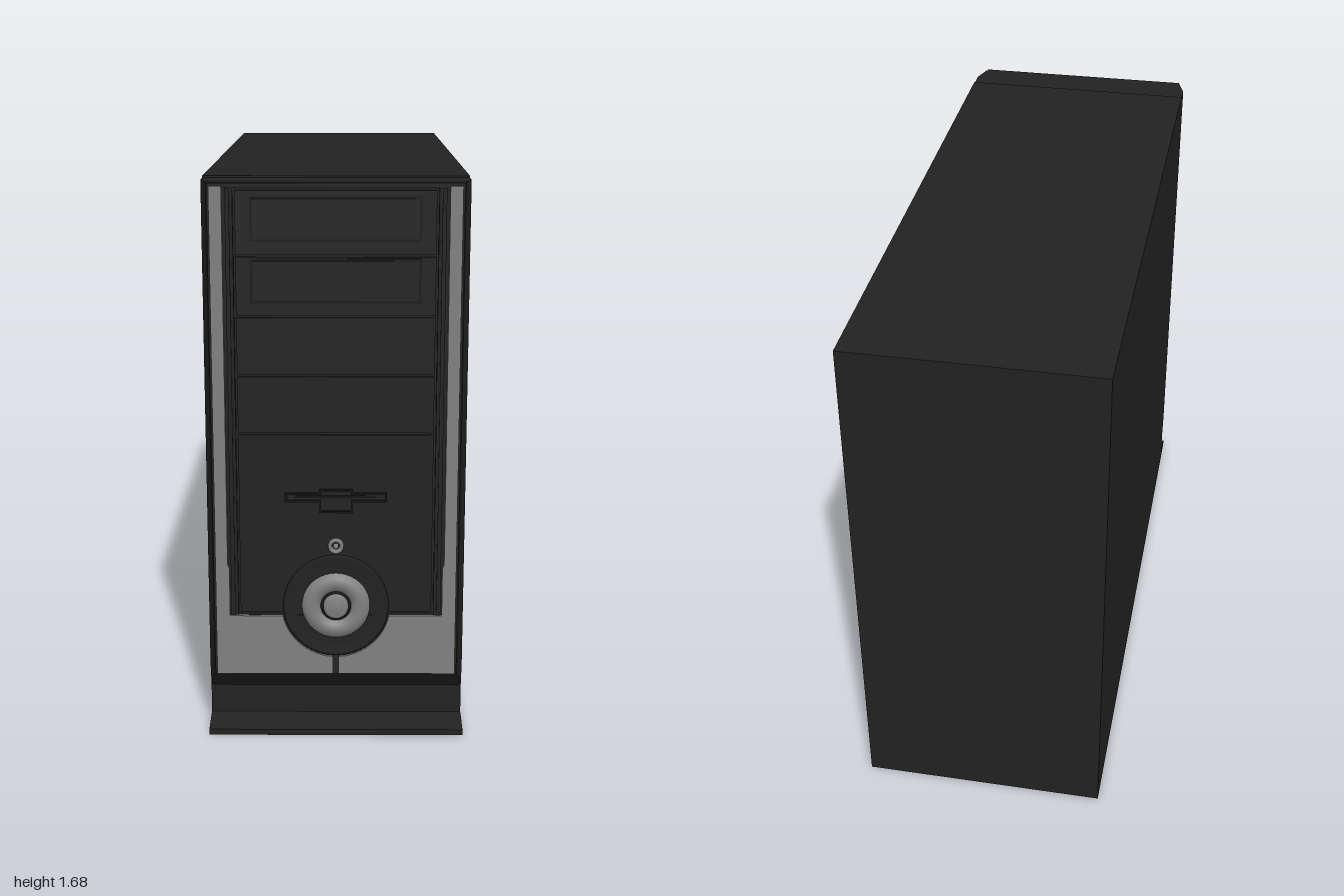
import * as THREE from 'three';

const dark = new THREE.MeshStandardMaterial({ color: 0x222222 });
const black = new THREE.MeshStandardMaterial({ color: 0x161616 });
const silver = new THREE.MeshStandardMaterial({ color: 0x808080 });
const FLOOR = 0.965; // depth of the recessed front panel

const toShape = (pts) => new THREE.Shape(pts.map(([x, y]) => new THREE.Vector2(x, y)));
const rect = (x0, x1, y0, y1) => [[x0, y0], [x1, y0], [x1, y1], [x0, y1]];

export function createModel() {
  const group = new THREE.Group();

  function add(name, geometry, material = dark) {
    const mesh = new THREE.Mesh(geometry, material);
    mesh.name = name;
    group.add(mesh);
    return mesh;
  }
  function box(name, x0, x1, y0, y1, z0, z1, material) {
    const mesh = add(name, new THREE.BoxGeometry(x1 - x0, y1 - y0, z1 - z0), material);
    mesh.position.set((x0 + x1) / 2, (y0 + y1) / 2, (z0 + z1) / 2);
    return mesh;
  }
  function plate(name, shape, z0, z1, material) {
    const g = new THREE.ExtrudeGeometry(shape, { depth: z1 - z0, bevelEnabled: false, curveSegments: 32 });
    return add(name, g.translate(0, 0, z0), material);
  }
  // Profile of (radius, z) pairs turned about the front-facing axis
  function turned(name, profile, y, material) {
    const pts = profile.map(([r, z]) => new THREE.Vector2(r, z));
    const mesh = add(name, new THREE.LatheGeometry(pts, 40).rotateX(Math.PI / 2), material);
    mesh.position.y = y;
    return mesh;
  }

  // Main case
  box('case', -0.385, 0.385, 0, 1.68, -1, 0.84);

  // Foot with its forward lip, extruded across the width
  const foot = toShape([[0.84, 0], [0.98, 0], [0.98, 0.018], [0.9, 0.03], [0.88, 0.03], [0.88, 0.12], [0.84, 0.12]]);
  const footGeo = new THREE.ExtrudeGeometry(foot, { depth: 0.77, bevelEnabled: false });
  add('foot', footGeo.rotateY(-Math.PI / 2).translate(0.385, 0, 0));

  // Bezel with chamfered sides, its lower end swept back to the foot
  const section = toShape([[-0.385, -0.84], [-0.385, -0.9], [-0.365, -FLOOR], [0.365, -FLOOR], [0.385, -0.9], [0.385, -0.84]]);
  const bezelGeo = new THREE.ExtrudeGeometry(section, { depth: 1.475, bevelEnabled: false }).rotateX(-Math.PI / 2).translate(0, 0.2, 0);
  add('bezel', bezelGeo);
  const chinGeo = new THREE.ExtrudeGeometry(section, { depth: 0.08, bevelEnabled: false }).rotateX(-Math.PI / 2).translate(0, 0.12, 0);
  const p = chinGeo.attributes.position;
  for (let i = 0; i < p.count; i++) {
    if (p.getY(i) < 0.13) {
      p.setZ(i, Math.min(p.getZ(i), 0.88));
      p.setX(i, Math.sign(p.getX(i)) * 0.385);
    }
  }
  chinGeo.computeVertexNormals();
  add('chin', chinGeo);

  // Raised frame around the recessed panel
  const frame = toShape(rect(-0.362, 0.362, 0.2, 1.673));
  frame.holes.push(toShape(rect(-0.29, 0.29, 0.39, 1.66)));
  plate('bezelFrame', frame, FLOOR, 0.98);
  for (const s of [-1, 1]) {
    box('innerRail', s * 0.305 - 0.006, s * 0.305 + 0.006, 0.39, 1.66, 0.98, 0.984);
  }

  // Silver trim: mirrored halves curving round the power button
  const trim = new THREE.Shape();
  trim.moveTo(0.008, 0.205);
  for (const [x, y] of [[0.356, 0.205], [0.356, 1.665], [0.32, 1.665], [0.32, 0.55], [0.315, 0.54], [0.315, 0.39]]) trim.lineTo(x, y);
  trim.absarc(0, 0.42, 0.16, -0.19, -Math.PI / 2 + 0.05, true);
  const half = trim.getPoints(24);
  for (const s of [-1, 1]) {
    plate('silverTrim', toShape(half.map((v) => [v.x * s, v.y])), 0.979, 0.988, silver);
  }

  // Drive bay covers and the lower panel, separated by thin gaps
  const seams = [1.655, 1.467, 1.293, 1.12, 0.947, 0.395];
  for (let i = 0; i < seams.length - 1; i++) {
    box(i < 4 ? 'bayCover' : 'lowerPanel', -0.284, 0.284, seams[i + 1] + 0.003, seams[i] - 0.003, FLOOR - 0.005, 0.973);
  }
  // Disc drive fronts, each in a dark surround
  for (const y of [1.572, 1.396]) {
    box('driveSurround', -0.243, 0.243, y - 0.064, y + 0.064, 0.97, 0.975, black);
    box('driveTray', -0.236, 0.236, y - 0.057, y + 0.057, 0.97, 0.978);
  }

  // Floppy slot with finger notch
  const slot = (g) => toShape([
    [-0.15 + g, 0.741 + g], [-0.05 + g, 0.741 + g], [-0.05 + g, 0.708 + g], [0.05 - g, 0.708 + g],
    [0.05 - g, 0.741 + g], [0.15 - g, 0.741 + g], [0.15 - g, 0.77 - g], [0.05 - g, 0.77 - g],
    [0.05 - g, 0.78 - g], [-0.05 + g, 0.78 - g], [-0.05 + g, 0.77 - g], [-0.15 + g, 0.77 - g],
  ]);
  const slotRim = slot(0);
  slotRim.holes.push(slot(0.006));
  plate('floppySlotRim', slotRim, 0.97, 0.979, black);
  box('floppySlot', -0.12, 0.12, 0.752, 0.76, 0.97, 0.975, black);

  // Power button in its round surround
  turned('buttonSurround', [[0.157, FLOOR], [0.157, 0.982], [0.15, 0.985], [0.11, 0.978], [0, 0.978]], 0.42);
  turned('buttonRing', [[0.102, 0.975], [0.1, 0.984], [0.088, 0.994], [0.072, 0.998], [0.056, 0.994], [0.046, 0.984], [0.044, 0.978]], 0.42, silver);
  turned('buttonGroove', [[0.05, 0.978], [0.05, 0.983], [0, 0.983]], 0.42, black);
  turned('powerButton', [[0.038, 0.98], [0.037, 0.992], [0.03, 0.997], [0, 1]], 0.42, silver);

  // Reset button
  turned('resetRing', [[0.024, 0.97], [0.023, 0.98], [0.018, 0.983], [0.012, 0.979], [0.011, 0.973]], 0.605, silver);
  turned('resetButton', [[0.008, 0.97], [0.008, 0.982], [0, 0.984]], 0.605, silver);

  return group;
}
